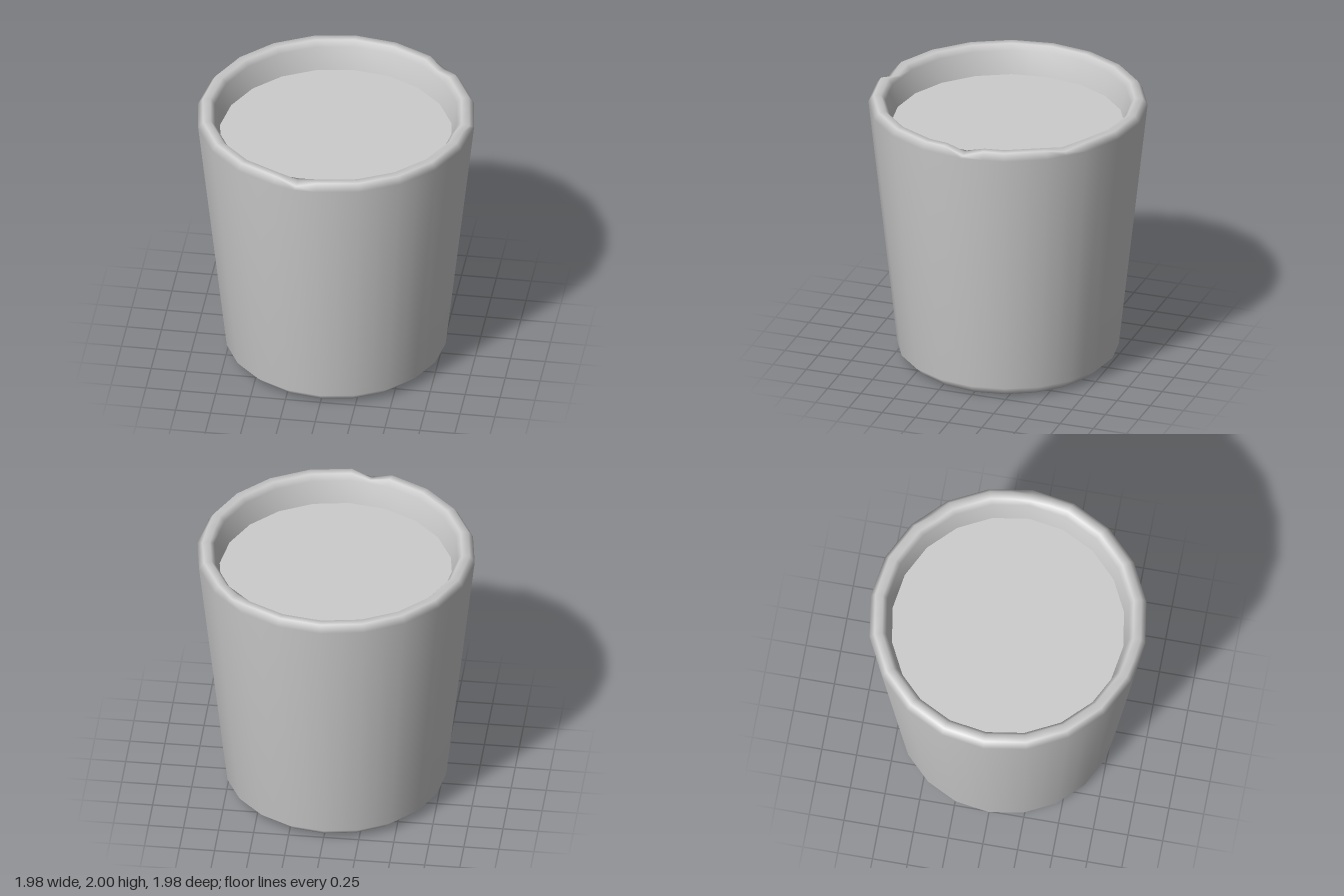
import * as THREE from 'three';

const SIDES = 20;
const STEPS = SIDES * 2; // side corners plus side midpoints

// chips in the rim: step index -> lowest height at the outer and inner lip
const chips = {
  39: { outer: 1.935, inner: 1.98 },  // front notch
  15: { outer: 1.96, inner: 1.985 },  // back corner notch
  10: { outer: 1.95, inner: 1.97 },   // shallow sag on the side
};

export function createModel() {
  const group = new THREE.Group();
  group.name = 'filledCup';
  const material = new THREE.MeshStandardMaterial({ color: 0xcccccc });

  // tapered cup: base, bevel, outer wall, rounded rim, inner wall
  const profile = [
    [0, 0], [0.7, 0], [0.785, 0.08], [0.99, 1.95],
    [0.955, 2], [0.9, 2], [0.868, 1.96], [0.83, 1.79],
  ].map(([r, y]) => new THREE.Vector2(r, y));
  const cupGeometry = new THREE.LatheGeometry(profile, STEPS);
  const pos = cupGeometry.attributes.position;
  for (let i = 0; i < pos.count; i++) {
    const step = Math.floor(i / profile.length);
    const p = profile[i % profile.length];
    // midpoints sit on the flat sides
    if (step % 2) {
      const k = Math.cos(Math.PI / SIDES);
      pos.setX(i, pos.getX(i) * k);
      pos.setZ(i, pos.getZ(i) * k);
    }
    // push the rim down at the chips
    const chip = chips[step];
    if (chip && p.y > 1.9) {
      const t = (p.x - 0.868) / (0.99 - 0.868);
      pos.setY(i, Math.min(p.y, THREE.MathUtils.lerp(chip.inner, chip.outer, t)));
    }
  }
  const cup = new THREE.Mesh(cupGeometry, material);
  cup.name = 'cup';
  group.add(cup);

  // flat surface of the contents
  const filling = new THREE.Mesh(new THREE.CircleGeometry(0.832, SIDES), material);
  filling.name = 'filling';
  filling.rotation.x = -Math.PI / 2;
  filling.position.y = 1.79;
  group.add(filling);

  return group;
}
